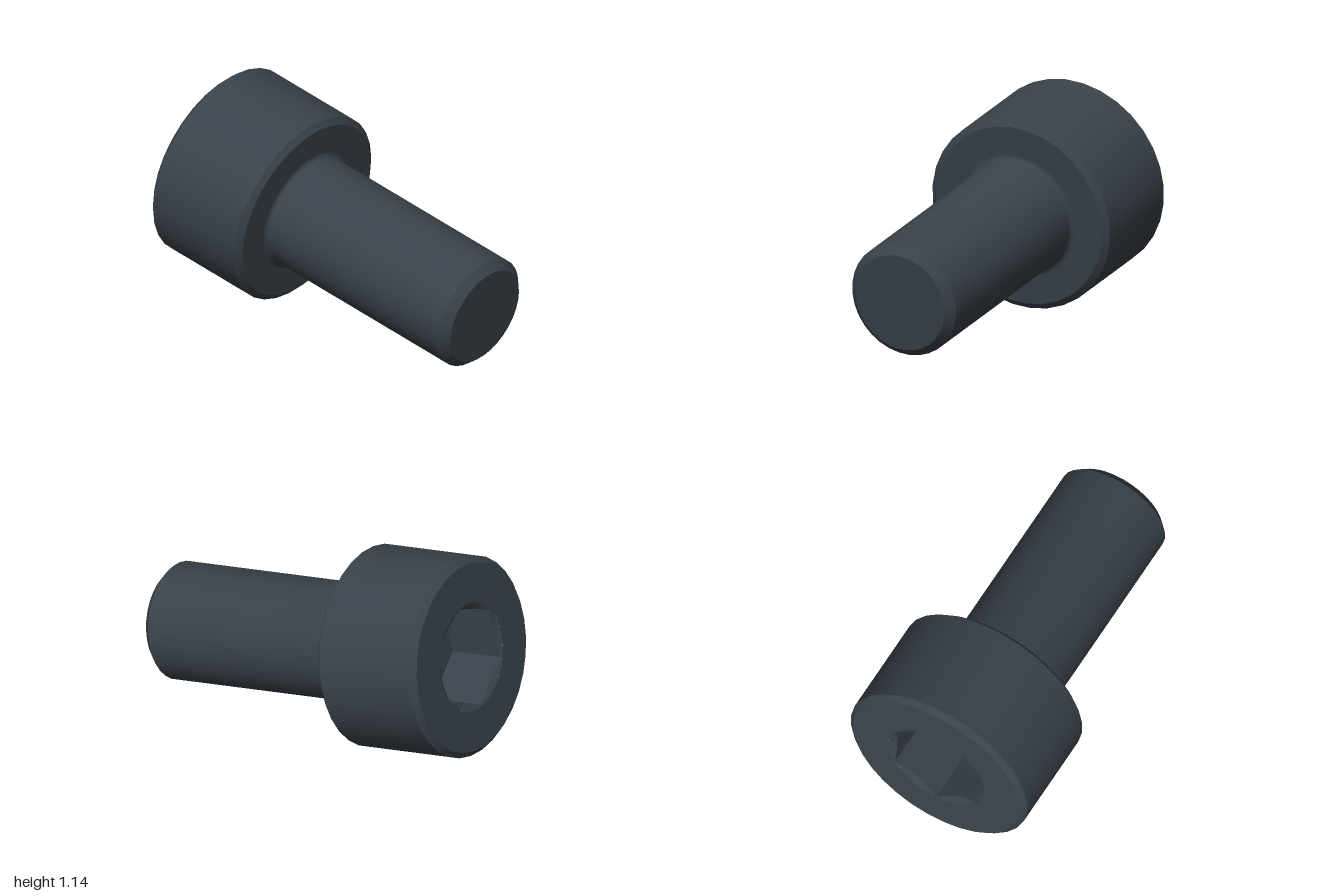
import * as THREE from 'three';
import { toCreasedNormals } from 'three/addons/utils/BufferGeometryUtils.js';

const steel = new THREE.MeshStandardMaterial({ color: 0x39424a });
steel.name = 'dark steel';

const V2 = (x, y) => new THREE.Vector2(x, y);

function part(name, geometry) {
  const mesh = new THREE.Mesh(toCreasedNormals(geometry, 0.5), steel);
  mesh.name = name;
  return mesh;
}

// Chamfered cylinder head; local y runs from the socket face to the tip
function head() {
  const profile = [V2(0.288, 0), V2(0.5, 0), V2(0.53, 0.027), V2(0.53, 0.593), V2(0.495, 0.62), V2(0.3, 0.62)];
  return part('head', new THREE.LatheGeometry(profile, 32));
}

// Shank with a small fillet under the head and a chamfered tip
function shank() {
  const profile = [];
  const r = 0.31, f = 0.025;
  for (let i = 0; i <= 4; i++) {
    const a = (i / 4) * Math.PI / 2;
    profile.push(V2(r + f - f * Math.sin(a), 0.62 + f - f * Math.cos(a)));
  }
  profile.push(V2(r, 1.822), V2(0.265, 1.867), V2(0, 1.867));
  return part('shank', new THREE.LatheGeometry(profile, 32));
}

// Hexagonal socket with a round countersunk mouth
function socket() {
  const depth = 0.312, mouth = 0.288, flat = 0.249;
  const corner = THREE.MathUtils.degToRad(54);
  const profile = [V2(0, depth), V2(1, depth), V2(1, 0.1), V2(1, 0)];
  const geo = new THREE.LatheGeometry(profile, 48, corner);
  const pos = geo.attributes.position;
  for (let i = 0; i < pos.count; i++) {
    const row = i % 4;
    if (row === 0) continue;
    const phi = corner + Math.floor(i / 4) * Math.PI * 2 / 48;
    const fromFlat = ((Math.floor(i / 4) % 8) - 4) * Math.PI / 24;
    const hex = Math.min(mouth, flat / Math.cos(fromFlat));
    const radius = row === 3 ? mouth : hex;
    const y = row === 1 ? depth : row === 2 ? (mouth - hex) * 0.6 : 0;
    pos.setXYZ(i, radius * Math.sin(phi), y, radius * Math.cos(phi));
  }
  return part('hexSocket', geo);
}

export function createModel() {
  const screw = new THREE.Group();
  screw.name = 'socketScrew';
  screw.add(head(), shank(), socket());

  // Tilt the screw so its axis points right, slightly down and forward
  const axis = new THREE.Vector3(0.963, -0.177, 0.203).normalize();
  const up = new THREE.Vector3(0, 1, 0).addScaledVector(axis, -axis.y).normalize();
  const side = new THREE.Vector3().crossVectors(axis, up);
  screw.quaternion.setFromRotationMatrix(new THREE.Matrix4().makeBasis(side, axis, up));
  screw.position.set(-0.867, 0.626, -0.085);

  const model = new THREE.Group();
  model.name = 'model';
  model.add(screw);
  return model;
}
